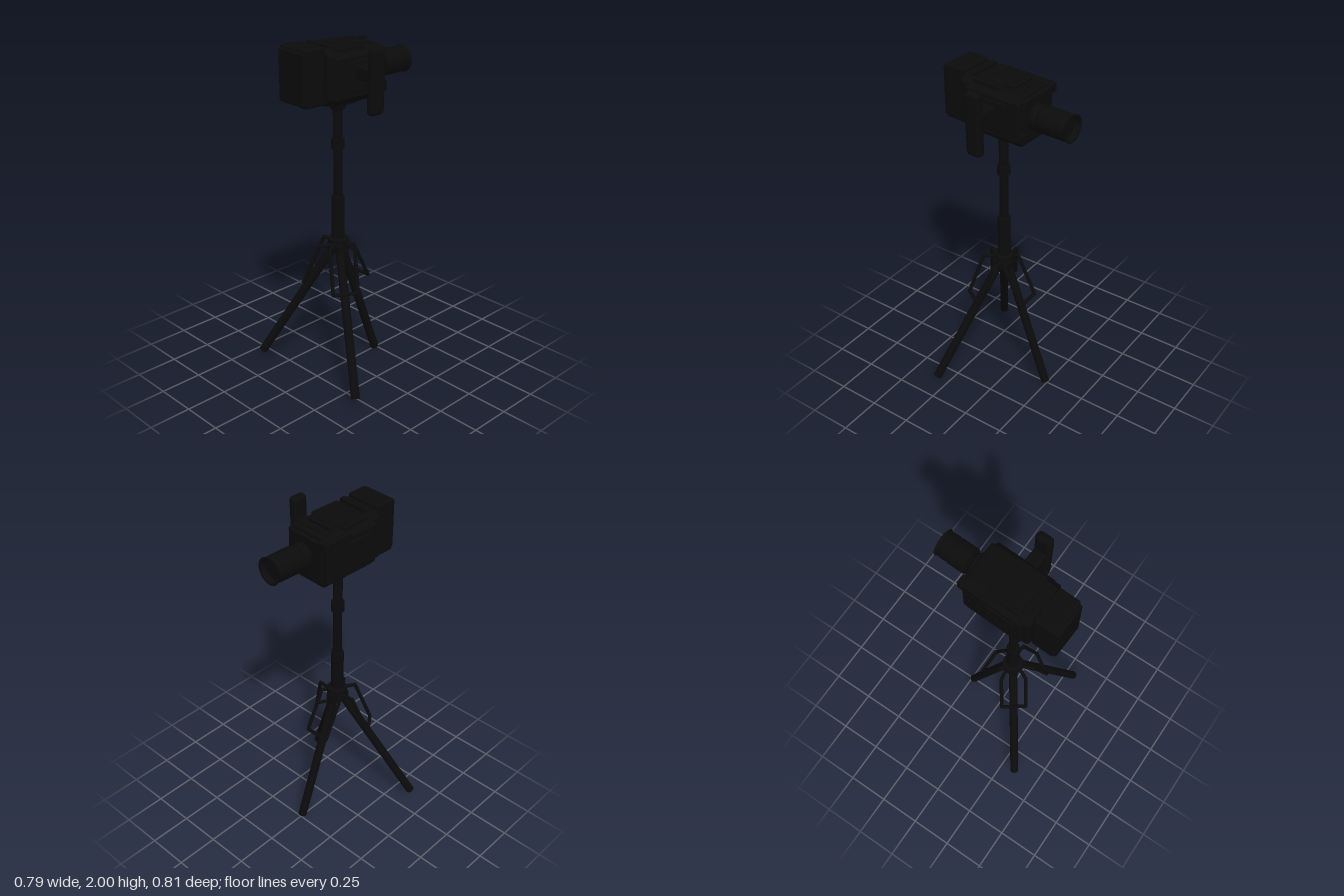
import * as THREE from 'three';
import { RoundedBoxGeometry } from 'three/addons/geometries/RoundedBoxGeometry.js';

const black = new THREE.MeshStandardMaterial({ color: 0x0b0b0b });
black.name = 'matte black';
const V = (x, y, z) => new THREE.Vector3(x, y, z);
const PX = -0.07; // x of the tripod column

function add(parent, name, geo, x = 0, y = 0, z = 0) {
  const m = new THREE.Mesh(geo, black);
  m.name = name;
  m.position.set(x, y, z);
  parent.add(m);
  return m;
}

// rounded block given by its limits on each axis
function block(parent, name, [x0, x1], [y0, y1], [z0, z1], r = 0.008) {
  const w = x1 - x0, h = y1 - y0, d = z1 - z0;
  const geo = new RoundedBoxGeometry(w, h, d, 2, Math.min(r, w * 0.45, h * 0.45, d * 0.45));
  return add(parent, name, geo, (x0 + x1) / 2, (y0 + y1) / 2, (z0 + z1) / 2);
}

// round bar between two points
function bar(parent, name, a, b, r) {
  const mid = a.clone().add(b).multiplyScalar(0.5);
  const m = add(parent, name, new THREE.CylinderGeometry(r, r, a.distanceTo(b), 20), mid.x, mid.y, mid.z);
  m.quaternion.setFromUnitVectors(V(0, 1, 0), b.clone().sub(a).normalize());
  return m;
}

// block with chamfered edges, pushed out along x
function chamfered(parent, name, x0, x1, y0, y1, hz, c) {
  const b = 0.012, s = new THREE.Shape();
  const t = y1 - b, o = y0 + b, w = hz - b;
  [[-w + c, o], [w - c, o], [w, o + c], [w, t - c], [w - c, t], [-w + c, t], [-w, t - c], [-w, o + c]]
    .forEach(([z, y], i) => (i ? s.lineTo(z, y) : s.moveTo(z, y)));
  const geo = new THREE.ExtrudeGeometry(s, {
    depth: x1 - x0 - 2 * b, bevelThickness: b, bevelSize: b, bevelSegments: 2,
  });
  geo.rotateY(Math.PI / 2);
  return add(parent, name, geo, x0 + b, 0, 0);
}

// turned part: points are [distance, radius]
function turned(parent, name, pts, x, y, z, alongX) {
  const geo = new THREE.LatheGeometry(pts.map(([h, r]) => new THREE.Vector2(r, h)), 32);
  const flat = geo.toNonIndexed();
  flat.computeVertexNormals();
  if (alongX) flat.rotateZ(-Math.PI / 2);
  return add(parent, name, flat, x, y, z);
}

function makeTripod() {
  const g = new THREE.Group();
  g.name = 'tripod';
  // column with sleeves, collar and head
  turned(g, 'column', [
    [0.76, 0], [0.76, 0.035], [0.8, 0.035], [0.8, 0.058], [0.85, 0.058], [0.855, 0.037], [1.1, 0.037],
    [1.11, 0.034], [1.11, 0.025], [1.39, 0.025], [1.39, 0.038], [1.445, 0.038], [1.445, 0.027],
    [1.61, 0.027], [1.62, 0.042], [1.65, 0.046], [1.65, 0],
  ], PX, 0, -0.003);
  block(g, 'headPlate', [-0.155, 0.02], [1.645, 1.69], [-0.06, 0.06], 0.01);

  // each leg: foot position, then brace reach at its top and bottom
  const legs = [
    { foot: V(0.236, 0.011, 0), top: 0.05, low: 0.17 },
    { foot: V(-0.345, 0.063, -0.38), top: 0.1, low: 0.195 },
    { foot: V(-0.305, 0.05, 0.38), top: 0.1, low: 0.195 },
  ];
  for (const { foot, top, low } of legs) {
    const d = V(foot.x - PX, 0, foot.z).normalize();
    const p = V(-d.z, 0, d.x);
    const at = (r, y, w) => V(PX, y, 0).addScaledVector(d, r).addScaledVector(p, w);
    bar(g, 'leg', at(0.012, 0.82, 0), foot, 0.025);
    block(g, 'legHinge', [-0.03, 0.03], [-0.03, 0.03], [-0.03, 0.03]).position.copy(at(0.03, 0.79, 0));
    // bent wire brace around the leg
    const w = 0.072, pts = [
      at(0.02, 0.82, -0.03), at(top, 0.815, -w), at(low, 0.582, -w),
      at(low, 0.582, w), at(top, 0.815, w), at(0.02, 0.82, 0.03),
    ];
    pts.forEach((q, i) => {
      if (i) bar(g, 'brace', pts[i - 1], q, 0.0105);
      add(g, 'braceCorner', new THREE.SphereGeometry(0.0105, 12, 8), q.x, q.y, q.z);
    });
  }
  return g;
}

function makeCamera() {
  const g = new THREE.Group();
  g.name = 'camera';
  // front hood
  block(g, 'hood', [-0.31, -0.18], [1.69, 2.0], [-0.108, 0.108], 0.014);
  block(g, 'hoodRim', [-0.325, -0.3], [1.7, 1.985], [-0.1, 0.1], 0.01);
  block(g, 'hoodBlock', [-0.24, -0.17], [1.98, 2.0], [-0.04, 0.045], 0.005);
  // body sections
  chamfered(g, 'frontBody', -0.18, -0.11, 1.68, 1.985, 0.135, 0.03);
  chamfered(g, 'mainBody', -0.14, 0.215, 1.675, 1.965, 0.148, 0.03);
  block(g, 'backPlate', [0.2, 0.232], [1.7, 1.945], [-0.12, 0.125], 0.012);
  block(g, 'topRidge', [-0.145, -0.112], [1.95, 1.998], [-0.09, 0.1], 0.006);
  block(g, 'topStep', [-0.105, 0.075], [1.95, 1.978], [-0.12, 0.12], 0.006);
  // top panel with its row of buttons
  block(g, 'topPanel', [-0.09, 0.135], [1.955, 1.984], [-0.075, 0.075], 0.006);
  for (let i = 0; i < 4; i++) {
    add(g, 'topButton', new THREE.CylinderGeometry(0.014, 0.014, 0.008, 20), -0.045 + i * 0.05, 1.986, 0.012);
  }
  block(g, 'topRail', [0.05, 0.236], [1.9, 1.955], [-0.156, -0.1], 0.008);
  block(g, 'lowerRail', [0.1, 0.236], [1.705, 1.76], [0.09, 0.14], 0.008);
  // accessory shoe
  block(g, 'shoeStem', [0.162, 0.178], [1.95, 1.985], [-0.02, 0.02], 0.004);
  block(g, 'shoePlate', [0.162, 0.202], [1.978, 1.987], [-0.022, 0.022], 0.003);
  // side panels and knobs
  block(g, 'sidePanel', [-0.1, 0.18], [1.73, 1.9], [-0.156, -0.13], 0.006);
  for (let i = 0; i < 5; i++) {
    const k = add(g, 'sideKnob', new THREE.CylinderGeometry(0.012, 0.012, 0.02, 16), -0.06 + i * 0.056, 1.84, -0.155);
    k.rotation.x = Math.PI / 2;
  }
  block(g, 'gripPanel', [-0.06, 0.14], [1.74, 1.91], [0.13, 0.155], 0.006);
  block(g, 'basePanel', [-0.08, 0.15], [1.662, 1.69], [-0.08, 0.08], 0.006);
  // eyepiece
  turned(g, 'eyepieceMount', [[0, 0], [0, 0.073], [0.03, 0.073], [0.045, 0.06], [0.045, 0.045], [0.07, 0.045], [0.07, 0]],
    0.227, 1.825, 0.018, true);
  block(g, 'eyepieceBracket', [0.22, 0.3], [1.79, 1.86], [-0.04, 0.06], 0.008);
  turned(g, 'eyepiece', [
    [0, 0], [0, 0.071], [0.006, 0.074], [0.1, 0.074], [0.104, 0.07], [0.115, 0.07], [0.118, 0.074],
    [0.15, 0.073], [0.162, 0.07], [0.178, 0.078], [0.176, 0.067], [0.15, 0.055], [0.15, 0],
  ], 0.284, 1.825, 0.02, true);
  // side handle on its arm
  block(g, 'handleArm', [-0.01, 0.066], [1.808, 1.882], [0.13, 0.26], 0.012);
  const grip = block(g, 'handle', [-0.022, 0.075], [1.633, 1.998], [0.243, 0.298], 0.026);
  grip.rotation.x = 0.03;
  block(g, 'handleButton', [0.01, 0.045], [1.9, 1.95], [0.28, 0.304], 0.005);
  // slight turn on the tripod head
  g.position.set(PX, 0, 0);
  g.rotation.y = -0.045;
  return g;
}

export function createModel() {
  const model = new THREE.Group();
  model.name = 'cameraOnTripod';
  model.add(makeTripod(), makeCamera());
  return model;
}
